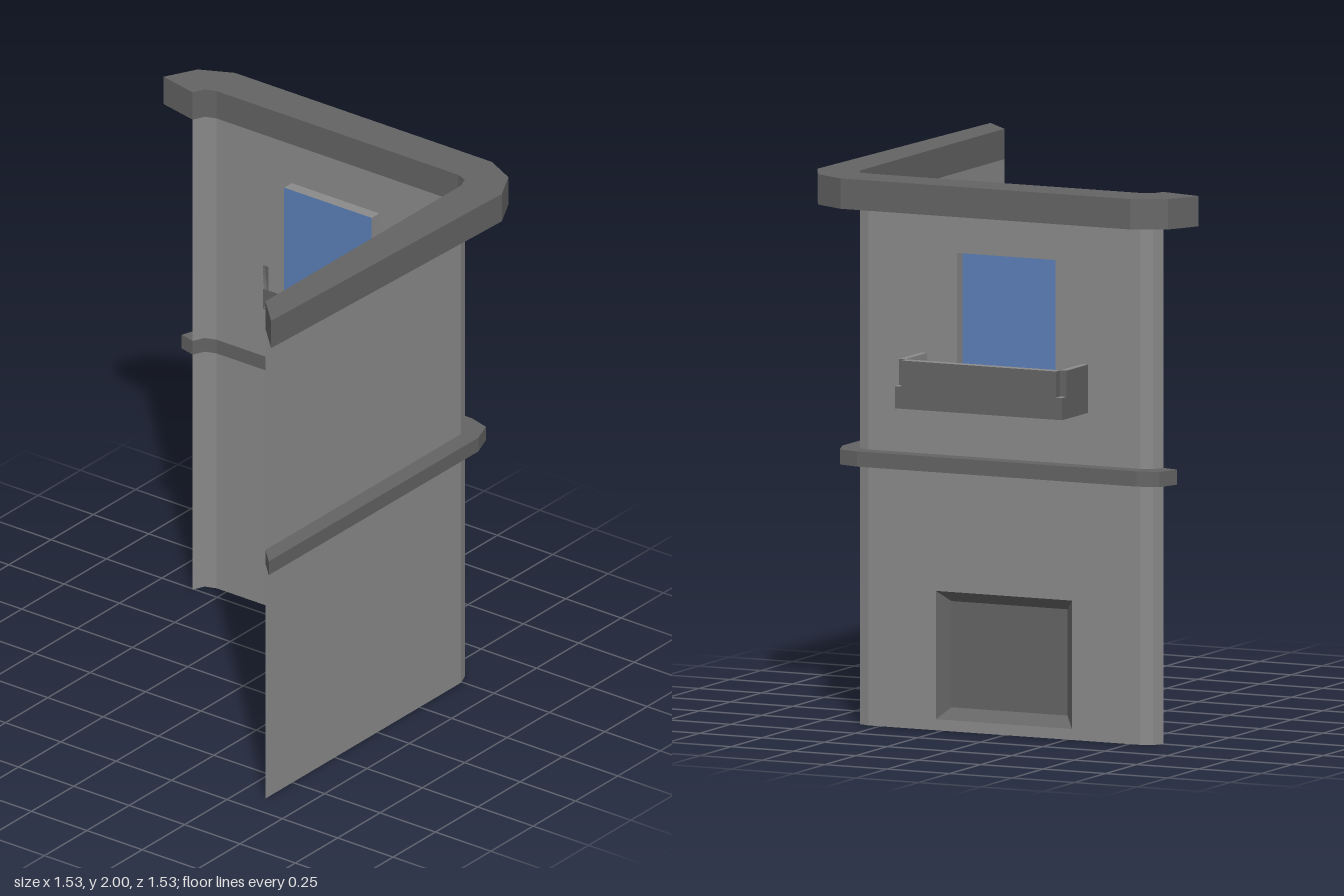
import * as THREE from 'three';

const mat = (name, color) => {
  const m = new THREE.MeshStandardMaterial({ color, side: THREE.DoubleSide });
  m.name = name;
  return m;
};

// Flat quads, corners anticlockwise seen from their front
function quads(list) {
  const pos = [];
  for (const [a, b, c, d] of list) for (const p of [a, b, c, a, c, d]) pos.push(...p);
  const g = new THREE.BufferGeometry();
  g.setAttribute('position', new THREE.Float32BufferAttribute(pos, 3));
  g.computeVertexNormals();
  return g;
}

// Plan of the walls as [x, z]; the long side wall lies between the two bends
const FRONT = [[-0.66, 0.605], [0.495, 0.605], [0.54, 0.587], [0.555, 0.545]];
const BACK = [[0.555, -0.545], [0.54, -0.587], [0.495, -0.607]];
const WALL_X = 0.555, GLASS_X = 0.51;

export function createModel() {
  const root = new THREE.Group();
  const wall = mat('wall grey', 0x8a8a8a);
  const trim = mat('trim grey', 0x636363);
  const glass = mat('window blue', 0x5b7fb8);

  const add = (name, geometry, material) => {
    const m = new THREE.Mesh(geometry, material);
    m.name = name;
    root.add(m);
  };

  // Upright strip following a plan path
  const strip = (path, y0, y1) => quads(path.slice(1).map(([x, z], i) => {
    const [px, pz] = path[i];
    return [[px, y0, pz], [x, y0, z], [x, y1, z], [px, y1, pz]];
  }));

  // Side wall sheet with one hole; points are [z, y]
  const sideWall = (y0, y1, hole) => {
    const v = (pts) => pts.map(([z, y]) => new THREE.Vector2(-z, y));
    const s = new THREE.Shape(v([[0.545, y0], [-0.545, y0], [-0.545, y1], [0.545, y1]]));
    s.holes.push(new THREE.Path(v(hole)));
    return new THREE.ShapeGeometry(s).rotateY(Math.PI / 2).translate(WALL_X, 0, 0);
  };

  // Two storeys of walls
  const storeys = [
    ['lower', 0, 0.945, [[0.275, 0.04], [0.275, 0.505], [-0.27, 0.505], [-0.27, 0.04]]],
    ['upper', 1.0, 1.89, [[0.335, 1.19], [0.335, 1.27], [0.19, 1.27], [0.19, 1.735],
      [-0.205, 1.735], [-0.205, 1.27], [-0.335, 1.27], [-0.335, 1.19]]],
  ];
  for (const [name, y0, y1, hole] of storeys) {
    add(name + 'FrontWall', strip(FRONT, y0, y1), wall);
    add(name + 'BackCorner', strip(BACK, y0, y1), wall);
    add(name + 'SideWall', sideWall(y0, y1, hole), wall);
  }

  // Mouldings that run along the walls
  const band = (outer, y, height) => {
    const pts = [...outer, ...[...FRONT, ...BACK].reverse()];
    const s = new THREE.Shape(pts.map(([x, z]) => new THREE.Vector2(x, -z)));
    return new THREE.ExtrudeGeometry(s, { depth: height, bevelEnabled: false })
      .rotateX(-Math.PI / 2).translate(0, y, 0);
  };
  add('cornice', band([[-0.77, 0.715], [0.53, 0.762], [0.65, 0.7], [0.71, 0.58],
    [0.71, -0.58], [0.65, -0.703], [0.53, -0.765]], 1.89, 0.11), trim);
  add('floorLedge', band([[-0.725, 0.67], [0.51, 0.672], [0.595, 0.64], [0.618, 0.56],
    [0.618, -0.56], [0.595, -0.64], [0.51, -0.668]], 0.945, 0.055), trim);

  // Recess sides running from the wall plane to a back panel, with that panel
  const recess = (name, [za, zb, ya, yb], inset, sideMat, panelMat) => {
    const rect = (x, i) => [[x, ya + i, za - i], [x, ya + i, zb + i], [x, yb - i, zb + i], [x, yb - i, za - i]];
    const o = rect(WALL_X, 0), n = rect(GLASS_X, inset);
    add(name + 'Reveal', quads(o.map((p, i) => [p, o[(i + 1) % 4], n[(i + 1) % 4], n[i]])), sideMat);
    add(name + 'Panel', quads([n]), panelMat);
  };
  recess('lowerNiche', [0.275, -0.27, 0.04, 0.505], 0.04, trim, trim);
  recess('window', [0.19, -0.205, 1.27, 1.735], 0, wall, glass);

  // Balcony boxes; lightFaces lists the box sides in wall colour (+x -x +y -y +z -z)
  const box = (name, x0, x1, y0, y1, z0, z1, lightFaces) => {
    const g = new THREE.BoxGeometry(x1 - x0, y1 - y0, z1 - z0)
      .translate((x0 + x1) / 2, (y0 + y1) / 2, (z0 + z1) / 2);
    add(name, g, [0, 1, 2, 3, 4, 5].map((i) => (lightFaces.includes(i) ? wall : trim)));
  };
  // Hollow base, open towards the room
  box('balconyUnderside', WALL_X, 0.765, 1.19, 1.195, -0.335, 0.335, [2]);
  box('balconyFloor', WALL_X, 0.765, 1.265, 1.27, -0.335, 0.335, [2]);
  box('balconyBaseFront', 0.76, 0.765, 1.195, 1.265, -0.335, 0.335, []);
  // Parapets, leaving notched corners
  box('balconyFrontParapet', 0.73, 0.765, 1.27, 1.365, -0.31, 0.31, [1, 2]);
  for (const [side, s] of [['left', -1], ['right', 1]]) {
    const span = (a, b) => (s > 0 ? [a, b] : [-b, -a]);
    box(side + 'BalconyBaseEnd', WALL_X, 0.76, 1.195, 1.265, ...span(0.33, 0.335), []);
    box(side + 'BalconyParapet', WALL_X, 0.73, 1.27, 1.365, ...span(0.31, 0.335), [2, s > 0 ? 5 : 4]);
  }
  return root;
}
